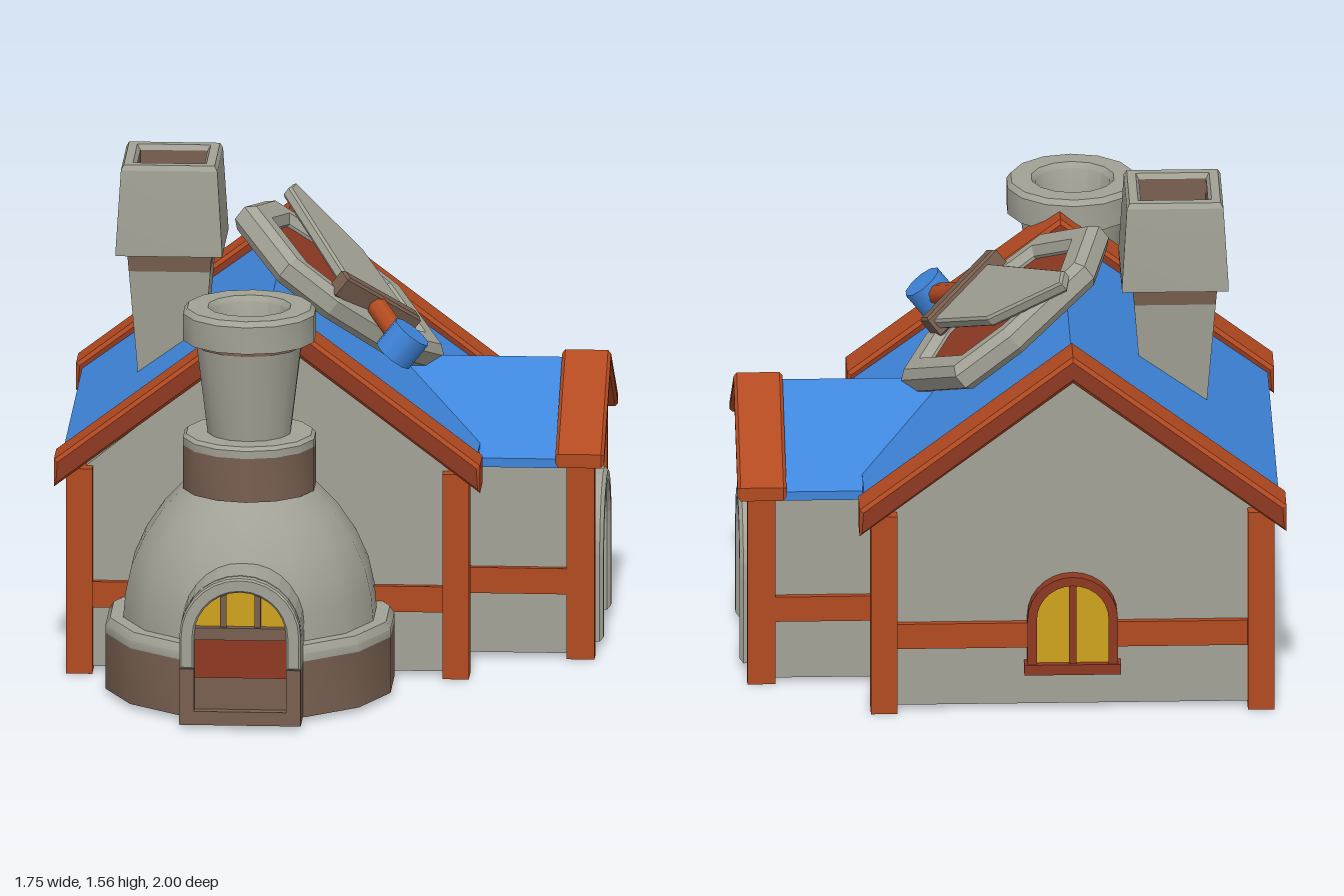
import * as THREE from 'three';
import { toCreasedNormals } from 'three/addons/utils/BufferGeometryUtils.js';

const mat = (name, color) => Object.assign(new THREE.MeshStandardMaterial({ color }), { name });

export function createModel() {
  const stone = mat('stone grey', 0xa3a296);
  const brown = mat('sooty brown', 0x785f50);
  const wood = mat('orange wood', 0xb34a20);
  const darkWood = mat('dark red wood', 0x8e3a22);
  const blue = mat('blue', 0x3f86dc);
  const yellow = mat('window yellow', 0xd0a31f);

  const model = new THREE.Group();
  const group = (name, parent = model) => {
    const g = new THREE.Group();
    g.name = name;
    parent.add(g);
    return g;
  };
  const add = (parent, name, geo, material) => {
    const m = new THREE.Mesh(geo, material);
    m.name = name;
    parent.add(m);
    return m;
  };
  // Box given by its min and max on each axis
  const box = (parent, name, material, x0, x1, y0, y1, z0, z1) =>
    add(parent, name, new THREE.BoxGeometry(x1 - x0, y1 - y0, z1 - z0)
      .translate((x0 + x1) / 2, (y0 + y1) / 2, (z0 + z1) / 2), material);
  const poly = pts => new THREE.Shape(pts.map(p => new THREE.Vector2(...p)));
  // Shape extruded from z0 to z1, with an optional bevel kept inside the outline
  const extrude = (shape, z0, z1, bevel = 0) => new THREE.ExtrudeGeometry(shape, {
    depth: z1 - z0 - 2 * bevel, bevelEnabled: bevel > 0, bevelSize: bevel, bevelOffset: -bevel,
    bevelThickness: bevel, bevelSegments: 1, curveSegments: 7,
  }).translate(0, 0, z0 + bevel);
  // Shape lying flat, extruded upward from y0 to y1
  const slab = (shape, y0, y1, bevel) => extrude(shape, -y1, -y0, bevel).rotateX(Math.PI / 2);
  const lathe = (pts, sides) => toCreasedNormals(new THREE.LatheGeometry(
    pts.map(p => new THREE.Vector2(...p)), sides), 0.6);
  const squareLathe = pts => toCreasedNormals(new THREE.LatheGeometry(
    pts.map(([r, y]) => new THREE.Vector2(r * Math.SQRT2, y)), 4, Math.PI / 4), 0.3);

  const chevron = (w, apex, eave, t) =>
    poly([[-w, eave - t], [0, apex - t], [w, eave - t], [w, eave], [0, apex], [-w, eave]]);
  const gable = (w, apex, eave) => poly([[-w, 0.015], [w, 0.015], [w, eave], [0, apex], [-w, eave]]);
  const arch = (hw, y0, top) => {
    const s = new THREE.Shape();
    s.moveTo(-hw, y0);
    s.lineTo(hw, y0);
    s.lineTo(hw, top - hw);
    s.absarc(0, top - hw, hw, 0, Math.PI, false);
    s.closePath();
    return s;
  };
  // Arched frame, open at the bottom
  const archFrame = (hw, inner, y0, top) => {
    const s = new THREE.Shape();
    s.moveTo(inner, y0);
    s.lineTo(hw, y0);
    s.lineTo(hw, top - hw);
    s.absarc(0, top - hw, hw, 0, Math.PI, false);
    s.lineTo(-hw, y0);
    s.lineTo(-inner, y0);
    s.lineTo(-inner, top - hw);
    s.absarc(0, top - hw, inner, Math.PI, 0, true);
    s.closePath();
    return s;
  };

  // Main house, ridge along z
  const house = group('mainHouse');
  house.position.x = -0.195;
  add(house, 'houseWalls', extrude(gable(0.61, 1.15, 0.66), -0.92, 0.28), stone);
  add(house, 'houseRoof', extrude(chevron(0.665, 1.19, 0.7, 0.045), -0.95, 0.3), blue);
  for (const [z0, z1] of [[0.2, 0.355], [-1, -0.855]])
    add(house, 'gableBoard', extrude(chevron(0.685, 1.235, 0.715, 0.09), z0, z1, 0.012), [darkWood, wood]);
  for (const s of [-1, 1]) {
    for (const z of [0.28, -0.92])
      add(house, 'cornerPost', new THREE.BoxGeometry(0.085, 0.68, 0.085).translate(s * 0.605, 0.34, z), wood);
    box(house, 'sideBeam', wood, s * 0.61 - 0.02, s * 0.61 + 0.02, 0.215, 0.3, -0.92, 0.28);
  }
  for (const z of [0.28, -0.92])
    box(house, 'endBeam', wood, -0.6, 0.6, 0.215, 0.3, z - 0.02, z + 0.02);

  // Arched window in the back gable
  const win = group('backWindow', house);
  win.position.z = -0.92;
  win.rotation.y = Math.PI;
  add(win, 'windowPane', extrude(arch(0.12, 0.15, 0.44), 0, 0.028), yellow);
  add(win, 'windowFrame', extrude(archFrame(0.145, 0.115, 0.14, 0.465), 0, 0.045), darkWood);
  box(win, 'windowMullion', darkWood, -0.012, 0.012, 0.15, 0.45, 0, 0.04);
  box(win, 'windowSill', darkWood, -0.155, 0.155, 0.13, 0.165, 0, 0.05);

  // Side wing, built facing +z then turned toward +x
  const wing = group('sideWing');
  wing.position.z = -0.32;
  wing.rotation.y = Math.PI / 2;
  add(wing, 'wingWalls', extrude(gable(0.35, 0.88, 0.645), 0.2, 0.81), stone);
  add(wing, 'wingRoof', extrude(chevron(0.375, 0.905, 0.665, 0.03), 0.16, 0.74), blue);
  add(wing, 'wingGableBoard', extrude(chevron(0.39, 0.93, 0.685, 0.045), 0.715, 0.872, 0.01), [darkWood, wood]);
  for (const s of [-1, 1]) {
    box(wing, 'wingPost', wood, s * 0.347 - 0.023, s * 0.347 + 0.023, 0, 0.66, 0.75, 0.84);
    box(wing, 'wingSideBeam', wood, s * 0.35 - 0.02, s * 0.35 + 0.02, 0.215, 0.3, 0.4, 0.8);
  }
  box(wing, 'wingFrontBeam', wood, -0.34, 0.34, 0.215, 0.3, 0.79, 0.828);
  const door = group('archedDoor', wing);
  door.position.x = 0.008;
  add(door, 'doorLeaf', extrude(arch(0.178, 0.02, 0.485), 0.8, 0.832), wood);
  box(door, 'doorLowerPanel', darkWood, -0.17, 0.17, 0.05, 0.13, 0.83, 0.837);
  box(door, 'doorSeam', darkWood, -0.17, 0.17, 0.205, 0.222, 0.83, 0.836);
  add(door, 'doorFrame', extrude(archFrame(0.228, 0.174, 0.02, 0.535), 0.79, 0.86, 0.012), stone);

  // Domed kiln with its flue
  const kiln = group('kiln');
  kiln.position.set(-0.243, 0, 0.455);
  add(kiln, 'kilnBase', lathe([[0, 0.015], [0.47, 0.015], [0.47, 0.2]], 14), brown);
  add(kiln, 'kilnLedge', lathe([[0.47, 0.2], [0.47, 0.225], [0.455, 0.25], [0.41, 0.25]], 14), stone);
  add(kiln, 'kilnDome', lathe([[0.413, 0.24], [0.405, 0.33], [0.385, 0.42], [0.345, 0.51],
    [0.285, 0.6], [0.2, 0.69]], 14), stone);
  const flue = group('flue', kiln);
  flue.position.z = 0.027;
  add(flue, 'flueCollar', lathe([[0.17, 0.675], [0.216, 0.675], [0.216, 0.82]], 14), brown);
  add(flue, 'collarRim', lathe([[0.216, 0.82], [0.216, 0.845], [0.205, 0.857], [0.13, 0.857]], 14), stone);
  add(flue, 'flueStack', lathe([[0.135, 0.85], [0.172, 1.15]], 14), stone);
  add(flue, 'flueBand', lathe([[0.172, 1.148], [0.176, 1.148], [0.176, 1.17]], 14), brown);
  add(flue, 'flueRim', lathe([[0.16, 1.167], [0.216, 1.167], [0.216, 1.255], [0.202, 1.272],
    [0.135, 1.272], [0.122, 1.255], [0.1, 1.12], [0, 1.12]], 14), stone);

  // Kiln mouth with glowing panes
  const mouth = group('kilnMouth');
  mouth.position.x = -0.243;
  box(mouth, 'mouthBase', brown, -0.195, 0.195, 0.015, 0.2, 0.6, 0.965);
  add(mouth, 'mouthVault', extrude(arch(0.195, 0.2, 0.502), 0.6, 0.955), stone);
  add(mouth, 'mouthArch', extrude(archFrame(0.195, 0.148, 0.2, 0.502), 0.955, 0.998, 0.006), stone);
  for (const s of [-1, 1])
    box(mouth, 'mouthLeg', brown, s * 0.1715 - 0.0235, s * 0.1715 + 0.0235, 0.015, 0.2, 0.96, 0.998);
  box(mouth, 'mouthSill', brown, -0.15, 0.15, 0.015, 0.06, 0.96, 0.998);
  add(mouth, 'glowPane', extrude(arch(0.148, 0.3, 0.455), 0.95, 0.962), yellow);
  box(mouth, 'mouthPanel', darkWood, -0.148, 0.148, 0.165, 0.3, 0.95, 0.97);
  box(mouth, 'mouthCrossbar', brown, -0.15, 0.15, 0.295, 0.335, 0.95, 0.988);
  for (const x of [-0.055, 0.055])
    box(mouth, 'mouthMullion', brown, x - 0.01, x + 0.01, 0.33, 0.45, 0.95, 0.976);

  // Square chimney
  const chimney = group('chimney');
  chimney.position.set(-0.54, 0, -0.328);
  add(chimney, 'chimneyShaft', squareLathe([[0.095, 0.75], [0.131, 1.2]]), stone);
  add(chimney, 'chimneyBand', squareLathe([[0.131, 1.2], [0.136, 1.262]]), brown);
  add(chimney, 'chimneyCap', squareLathe([[0.13, 1.26], [0.171, 1.26], [0.171, 1.28], [0.155, 1.54],
    [0.146, 1.557], [0.118, 1.557], [0.108, 1.54]]), stone);
  add(chimney, 'chimneyInside', squareLathe([[0.108, 1.54], [0.104, 1.38], [0, 1.38]]), brown);

  // Shield and cleaver on the right roof slope: local x downslope, y outward
  const sign = group('roofSign');
  sign.position.set(-0.05, 1.074, -0.33);
  sign.rotation.z = -0.665;
  const outline = [[-0.4, 0.06], [-0.33, -0.18], [-0.02, -0.3], [0.2, -0.3],
    [0.41, 0], [0.3, 0.17], [0, 0.3], [-0.2, 0.3]];
  const rim = poly(outline);
  rim.holes.push(new THREE.Path(outline.map(([x, z]) => new THREE.Vector2(x * 0.7, z * 0.7)).reverse()));
  add(sign, 'shieldRim', slab(rim, 0.025, 0.125, 0.025), stone);
  add(sign, 'shieldFace', slab(poly(outline.map(([x, z]) => [x * 0.76, z * 0.76])), 0.035, 0.09), darkWood);

  const cleaver = group('cleaver', sign);
  cleaver.position.x = -0.05;
  add(cleaver, 'blade', slab(poly([[-0.225, -0.36], [0.07, -0.2], [0.29, 0.12], [0.05, 0.25], [-0.24, -0.27]]),
    0.125, 0.165, 0.008), stone);
  add(cleaver, 'guard', slab(poly([[0, 0.255], [0.285, 0.09], [0.315, 0.135], [0.03, 0.3]]),
    0.105, 0.185, 0.008), brown);
  const grip = add(cleaver, 'grip', new THREE.CylinderGeometry(0.036, 0.036, 0.26, 8).rotateX(Math.PI / 2), wood);
  grip.position.set(0.225, 0.145, 0.295);
  grip.rotation.y = Math.atan2(0.13, 0.19);
  add(cleaver, 'pommel', new THREE.CylinderGeometry(0.068, 0.068, 0.1, 10), blue)
    .position.set(0.285, 0.145, 0.395);

  return model;
}
